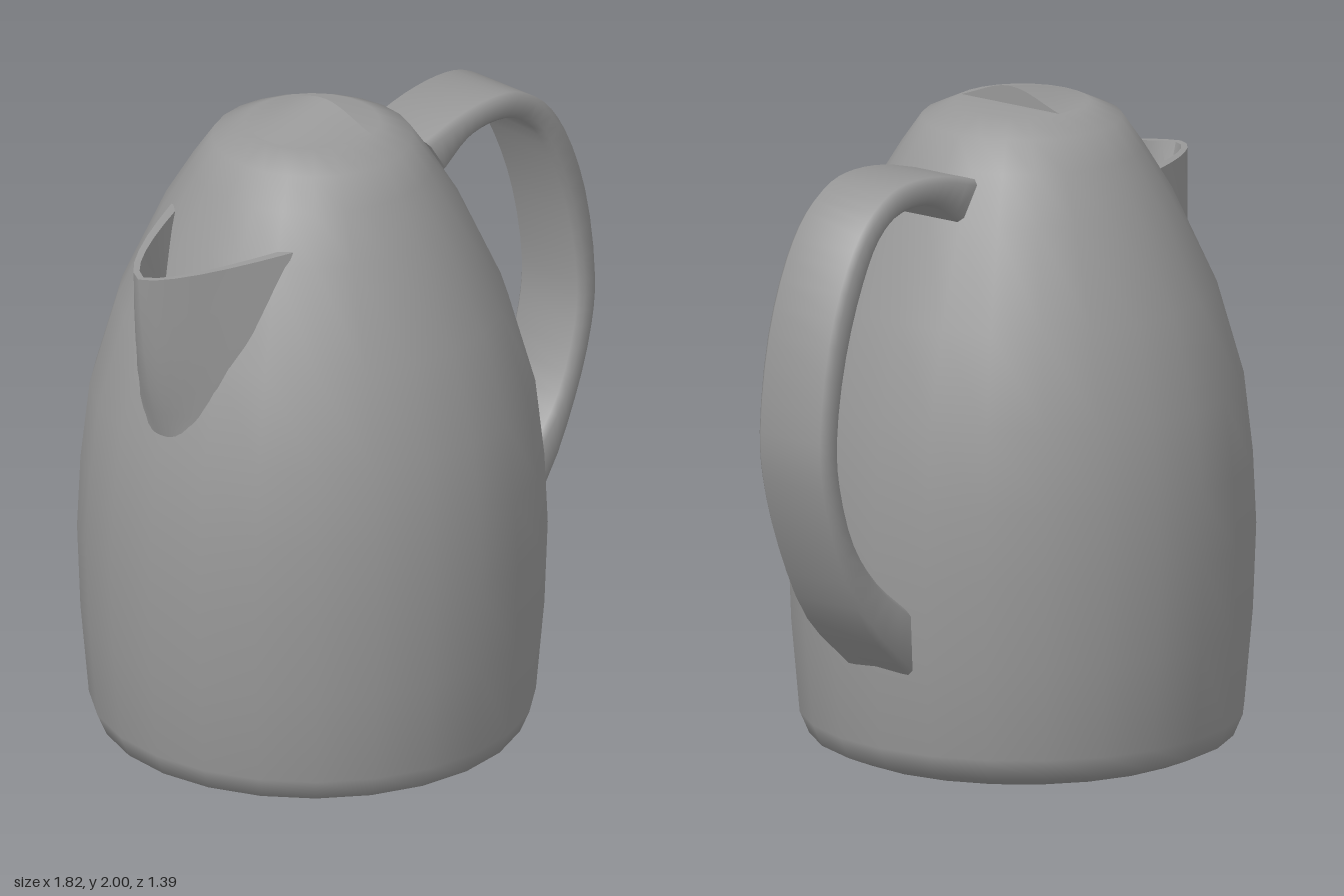
import * as THREE from 'three';
import { toCreasedNormals } from 'three/addons/utils/BufferGeometryUtils.js';

const AXIS = -0.175; // x of the body's axis
const grey = new THREE.MeshStandardMaterial({ color: 0x999999, side: THREE.DoubleSide });

// Skin over rows of [x, y, z] points; closed joins the last column to the first.
function skin(rows, closed) {
  const n = rows[0].length, index = [];
  for (let i = 0; i < rows.length - 1; i++) {
    for (let j = 0; j < (closed ? n : n - 1); j++) {
      const a = i * n + j, b = i * n + (j + 1) % n;
      index.push(a, b, a + n, b, b + n, a + n);
    }
  }
  const g = new THREE.BufferGeometry();
  g.setAttribute('position', new THREE.Float32BufferAttribute(rows.flat(2), 3));
  g.setIndex(index);
  return toCreasedNormals(g, 1.0);
}

// Folds a loop onto its midline, to close the end of a skin.
const fold = (loop) => loop.map((p, j) => p.map((v, k) => (v + loop[loop.length - 1 - j][k]) / 2));
const capped = (rows) => skin([fold(rows[0]), ...rows, fold(rows[rows.length - 1])], true);

function add(group, name, geometry) {
  const mesh = new THREE.Mesh(geometry, grey);
  mesh.name = name;
  group.add(mesh);
  return mesh;
}

function bodyGeometry() {
  const profile = [
    [0, 0], [0.55, 0], [0.632, 0.035], [0.66, 0.1], [0.685, 0.38], [0.695, 0.64],
    [0.685, 0.86], [0.658, 1.1], [0.578, 1.38], [0.445, 1.67], [0.36, 1.81], [0.298, 1.9],
    [0.2, 1.945], [0, 1.945],
  ];
  return new THREE.LatheGeometry(profile.map(([r, y]) => new THREE.Vector2(r, y)), 24);
}

// Raised half of the lid and the upright face at its open edge
function lidGeometries() {
  const top = [], face = [], x0 = -0.12, base = 1.944;
  for (let i = 0; i <= 12; i++) {
    const s = -1 + i / 6, z = 0.19 * s;
    const rise = 0.056 * (0.5 + 0.5 * Math.cos(Math.PI * s)) * 0.5 + 0.028 * (1 - s * s);
    const rim = AXIS - Math.sqrt(0.04 - z * z);
    top.push([0, 0.25, 0.5, 0.75, 1].map((t) =>
      [x0 + (rim - x0) * t, base + rise * (1 - t), z]));
    face.push([[x0, base, z], [x0, base + rise, z]]);
  }
  return [skin(top), skin(face)];
}

// V-shaped spout, its wall thicker below the rim.
// Each level is [y at tip, y at ends, tip x, end x, end z, wall].
function spoutGeometry() {
  const levels = [
    [1.14, 1.14, -0.822, -0.8, 0.08, 0.03],
    [1.22, 1.22, -0.845, -0.77, 0.135, 0.06],
    [1.31, 1.32, -0.87, -0.72, 0.185, 0.08],
    [1.43, 1.45, -0.89, -0.65, 0.225, 0.075],
    [1.55, 1.58, -0.905, -0.582, 0.243, 0.05],
    [1.675, 1.71, -0.915, -0.515, 0.25, 0.022],
  ];
  const steps = 12;
  return capped(levels.map(([yTip, yEnd, xTip, xEnd, zEnd, thick]) => {
    const wall = (inset) => Array.from({ length: steps + 1 }, (_, i) => {
      const u = -1 + (2 * i) / steps, f = Math.abs(u) ** 1.6;
      return [
        xTip + inset + (xEnd - xTip - inset) * f,
        yTip + (yEnd - yTip) * f,
        u * (zEnd - inset * 1.4),
      ];
    });
    return [...wall(0), ...wall(thick).reverse()];
  }));
}

// Smooth curve through [x, y] points
function smooth(points, count) {
  const curve = new THREE.CatmullRomCurve3(points.map(([x, y]) => new THREE.Vector3(x, y, 0)));
  return Array.from({ length: count + 1 }, (_, i) => curve.getPoint(i / count));
}

// Flat band with chamfered edges, between an outer and an inner curve
function handleGeometry() {
  const outer = smooth([
    [0.185, 1.795], [0.33, 1.832], [0.47, 1.845], [0.575, 1.83], [0.69, 1.76], [0.78, 1.64],
    [0.866, 1.42], [0.908, 1.13], [0.893, 0.98], [0.822, 0.76], [0.69, 0.52], [0.495, 0.345],
  ], 33);
  const inner = smooth([
    [0.265, 1.68], [0.36, 1.745], [0.46, 1.765], [0.56, 1.75], [0.645, 1.69], [0.715, 1.575],
    [0.792, 1.37], [0.832, 1.13], [0.82, 0.99], [0.75, 0.79], [0.645, 0.655], [0.505, 0.545],
  ], 33);
  const w = 0.13, chamfer = 0.017;
  return capped(outer.map((o, i) => {
    const c = chamfer / o.distanceTo(inner[i]);
    const section = [
      [-w, 1 - c], [chamfer - w, 1], [w - chamfer, 1], [w, 1 - c],
      [w, c], [w - chamfer, 0], [chamfer - w, 0], [-w, c],
    ];
    return section.map(([z, f]) => {
      const p = inner[i].clone().lerp(o, f);
      return [p.x, p.y, z];
    });
  }));
}

export function createModel() {
  const group = new THREE.Group();
  group.name = 'jug';
  add(group, 'body', bodyGeometry()).position.x = AXIS;
  const [top, face] = lidGeometries();
  add(group, 'lidRaisedHalf', top);
  add(group, 'lidEdge', face);
  add(group, 'spout', spoutGeometry());
  add(group, 'handle', handleGeometry());
  return group;
}
